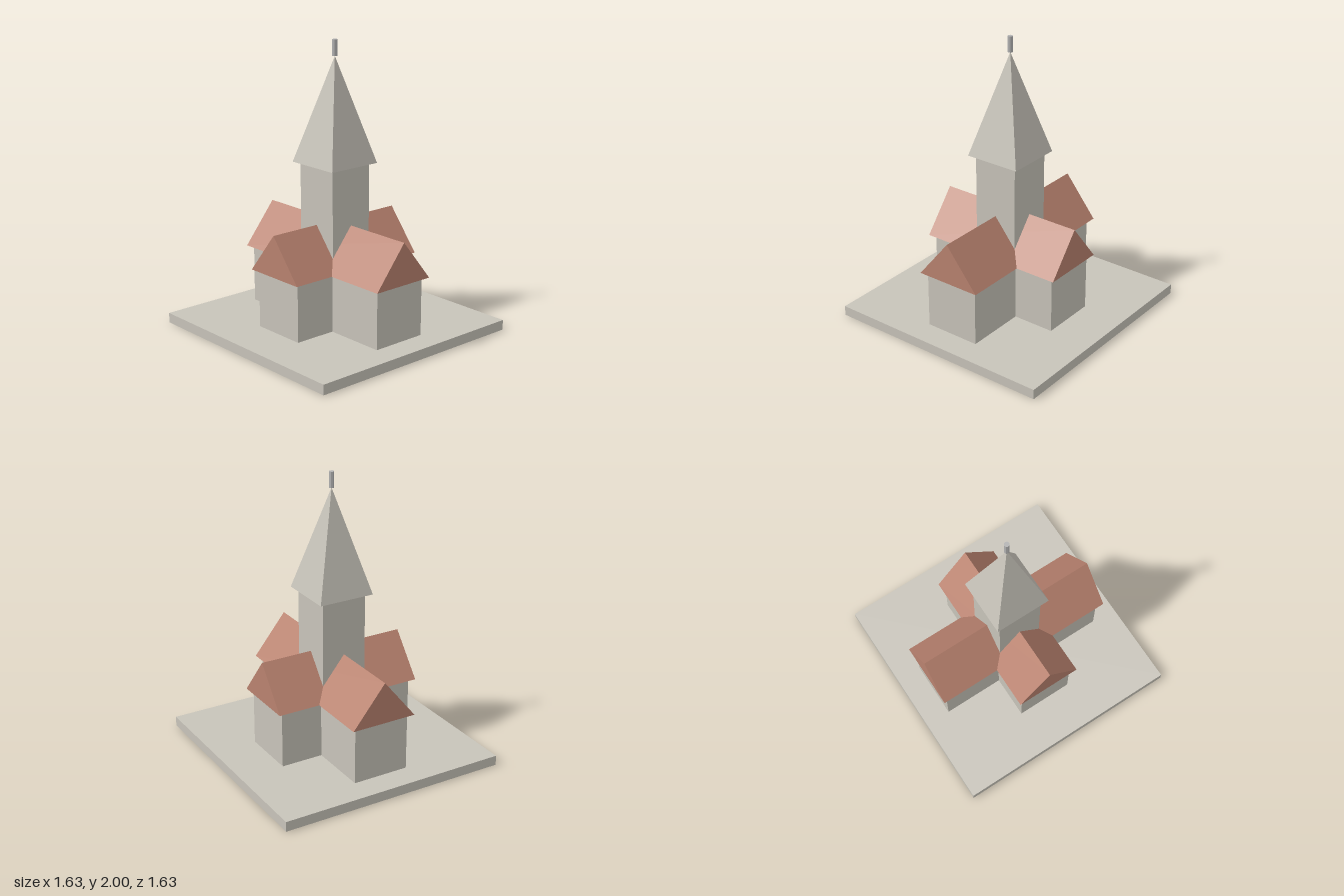
import * as THREE from 'three';

export function createModel() {
  const model = new THREE.Group();
  model.name = 'church';
  const material = (name, color) => {
    const m = new THREE.MeshStandardMaterial({ color });
    m.name = name;
    return m;
  };
  const stone = material('pale stone', 0xc8c4ba);
  const tile = material('terracotta tile', 0xb9826f);
  const metal = material('grey metal', 0xb4b4b4);

  const add = (name, geometry, mat, parent = model) => {
    const mesh = new THREE.Mesh(geometry, mat);
    mesh.name = name;
    parent.add(mesh);
    return mesh;
  };
  // Box given by its width, depth and its bottom and top heights
  const block = (w, d, y0, y1) =>
    new THREE.BoxGeometry(w, y1 - y0, d).translate(0, (y0 + y1) / 2, 0);

  // Solid gable roof with its ridge along z
  const gable = (halfWidth, length, y0, y1) => {
    const shape = new THREE.Shape();
    shape.moveTo(-halfWidth, y0);
    shape.lineTo(halfWidth, y0);
    shape.lineTo(0, y1);
    shape.closePath();
    return new THREE.ExtrudeGeometry(shape, { depth: length, bevelEnabled: false })
      .translate(0, 0, -length / 2);
  };

  // Ground slab
  add('base', block(1.634, 1.634, 0, 0.07), stone);

  // Two crossing wings, each with walls and an overhanging roof
  const wing = (name, length, turn) => {
    const group = new THREE.Group();
    group.name = name;
    group.rotation.y = turn;
    add(name + 'Walls', block(0.4, length, 0.07, 0.475), stone, group);
    add(name + 'Roof', gable(0.235, length + 0.07, 0.475, 0.765), tile, group);
    model.add(group);
  };
  wing('nave', 1.27, 0);
  wing('transept', 1.0, Math.PI / 2);

  // Tower over the crossing
  add('tower', block(0.325, 0.325, 0.07, 1.17), stone);

  // Four-sided spire, turned so its faces line up with the tower
  const spire = new THREE.ConeGeometry(0.2 * Math.SQRT2, 0.72, 4, 1).toNonIndexed();
  spire.rotateY(Math.PI / 4).translate(0, 1.53, 0);
  spire.computeVertexNormals();
  add('spire', spire, stone);

  // Finial
  const finial = new THREE.CylinderGeometry(0.018, 0.018, 0.11, 8).toNonIndexed();
  finial.translate(0, 1.945, 0);
  finial.computeVertexNormals();
  add('finial', finial, metal);

  return model;
}
